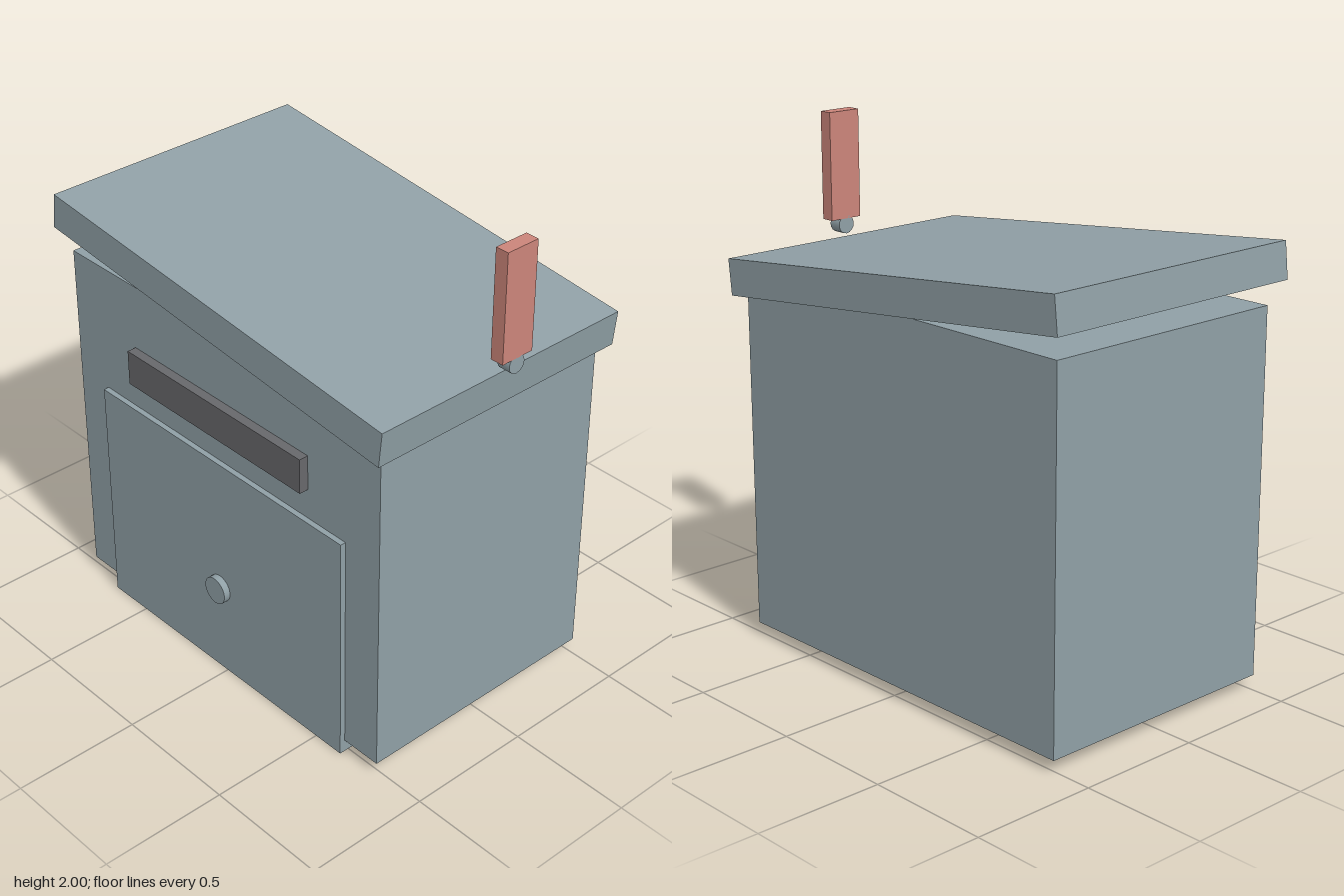
import * as THREE from 'three';

export function createModel() {
  const model = new THREE.Group();
  model.name = 'mailbox';

  const material = (name, color) => {
    const m = new THREE.MeshStandardMaterial({ color });
    m.name = name;
    return m;
  };
  const steel = material('blue grey metal', 0x90a0a6);
  const dark = material('dark grey slot', 0x67686b);
  const red = material('faded red', 0xcb857a);

  const add = (name, geometry, mat, x, y, z) => {
    const mesh = new THREE.Mesh(geometry, mat);
    mesh.name = name;
    mesh.position.set(x, y, z);
    model.add(mesh);
    return mesh;
  };
  // Box given by its lower and upper corners
  const box = (name, mat, [x0, y0, z0], [x1, y1, z1]) =>
    add(name, new THREE.BoxGeometry(x1 - x0, y1 - y0, z1 - z0), mat,
      (x0 + x1) / 2, (y0 + y1) / 2, (z0 + z1) / 2);

  // Case, with the door hanging slightly below it
  box('body', steel, [-0.85, 0.05, -0.516], [0.797, 1.46, 0.518]);
  box('door', steel, [-0.685, 0, 0.475], [0.63, 0.94, 0.54]);
  box('letterSlot', dark, [-0.5, 1.06, 0.48], [0.44, 1.2, 0.555]);

  // Round door knob facing forward
  const knob = new THREE.CylinderGeometry(0.055, 0.055, 0.06, 32).rotateX(Math.PI / 2);
  add('doorKnob', knob, steel, -0.028, 0.378, 0.537);

  // Lid sloping down to the left side
  const lid = add('lid', new THREE.BoxGeometry(1.74, 0.14, 1.126), steel, -0.0275, 1.532, -0.002);
  lid.rotation.z = -0.1054;

  // Signal flag above its pivot pin
  box('flag', red, [0.841, 1.58, -0.072], [0.895, 2, 0.068]);
  const pin = new THREE.CylinderGeometry(0.036, 0.036, 0.054, 16).rotateZ(Math.PI / 2);
  add('flagPivot', pin, steel, 0.868, 1.557, -0.001);

  return model;
}
